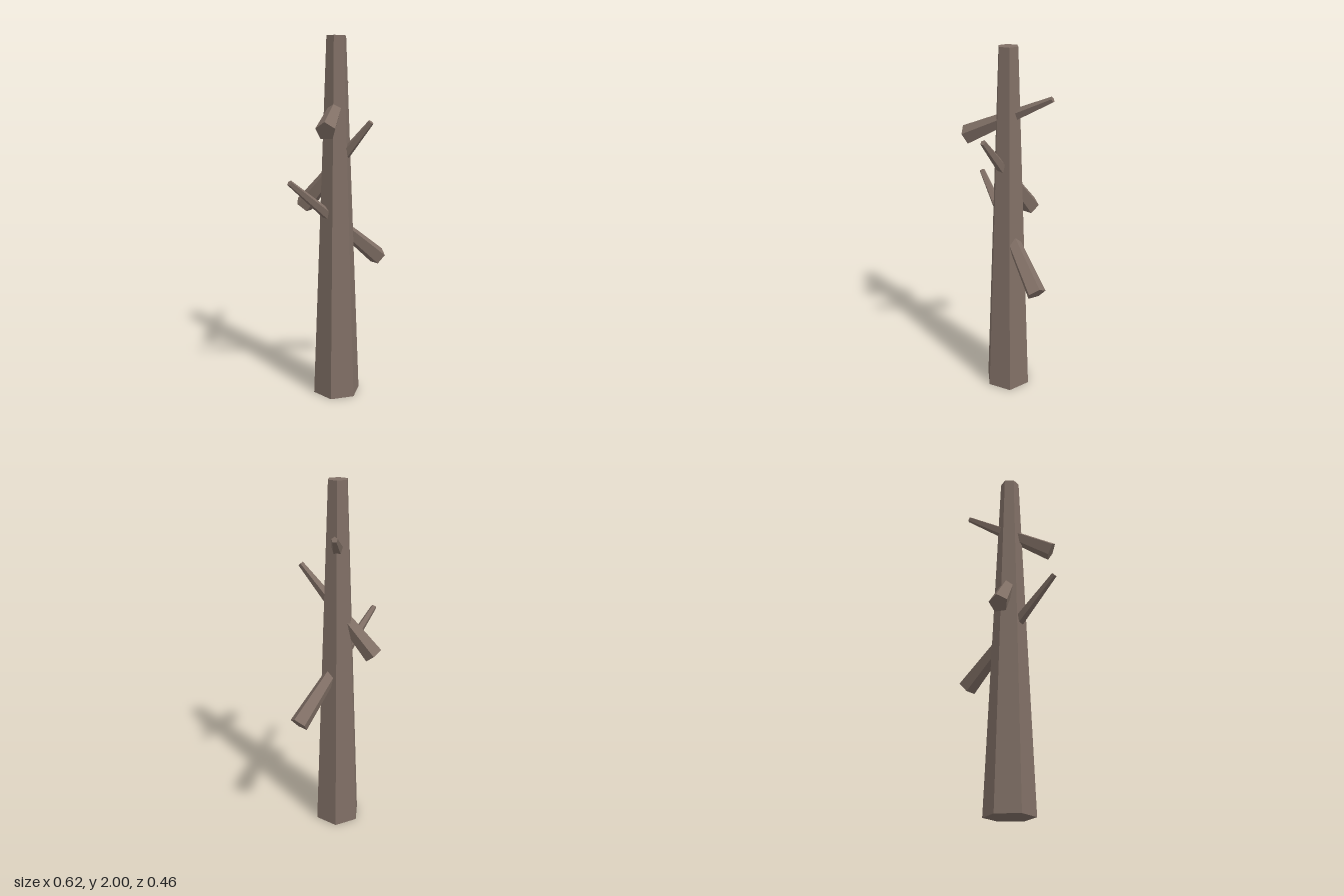
import * as THREE from 'three';

export function createModel() {
  const tree = new THREE.Group();
  tree.name = 'deadTree';
  const bark = new THREE.MeshStandardMaterial({ color: 0x806f65 });
  bark.name = 'bark';
  bark.flatShading = true;

  const cx = -0.01, cz = -0.012;
  const rad = THREE.MathUtils.degToRad;

  // tapered six-sided trunk with corners on the x axis
  const trunk = new THREE.Mesh(new THREE.CylinderGeometry(0.054, 0.135, 2, 6, 1, false, Math.PI / 6), bark);
  trunk.name = 'trunk';
  trunk.position.set(cx, 1, cz);
  tree.add(trunk);

  // five-sided branches that pass right through the trunk, thick end low
  const branches = [
    { y: 1.0, length: 0.805, tilt: 51.8, yaw: -66.4 },
    { y: 1.317, length: 0.627, tilt: 40.7, yaw: 47.2 },
    { y: 1.637, length: 0.54, tilt: 63.6, yaw: 150.8 },
  ];
  branches.forEach(({ y, length, tilt, yaw }, i) => {
    const branch = new THREE.Mesh(new THREE.CylinderGeometry(0.016, 0.054, length, 5, 1, false, Math.PI), bark);
    branch.name = 'branch' + (i + 1);
    branch.position.set(cx, y, cz);
    branch.rotation.set(rad(tilt), rad(yaw), 0, 'YXZ');
    tree.add(branch);
  });

  return tree;
}
